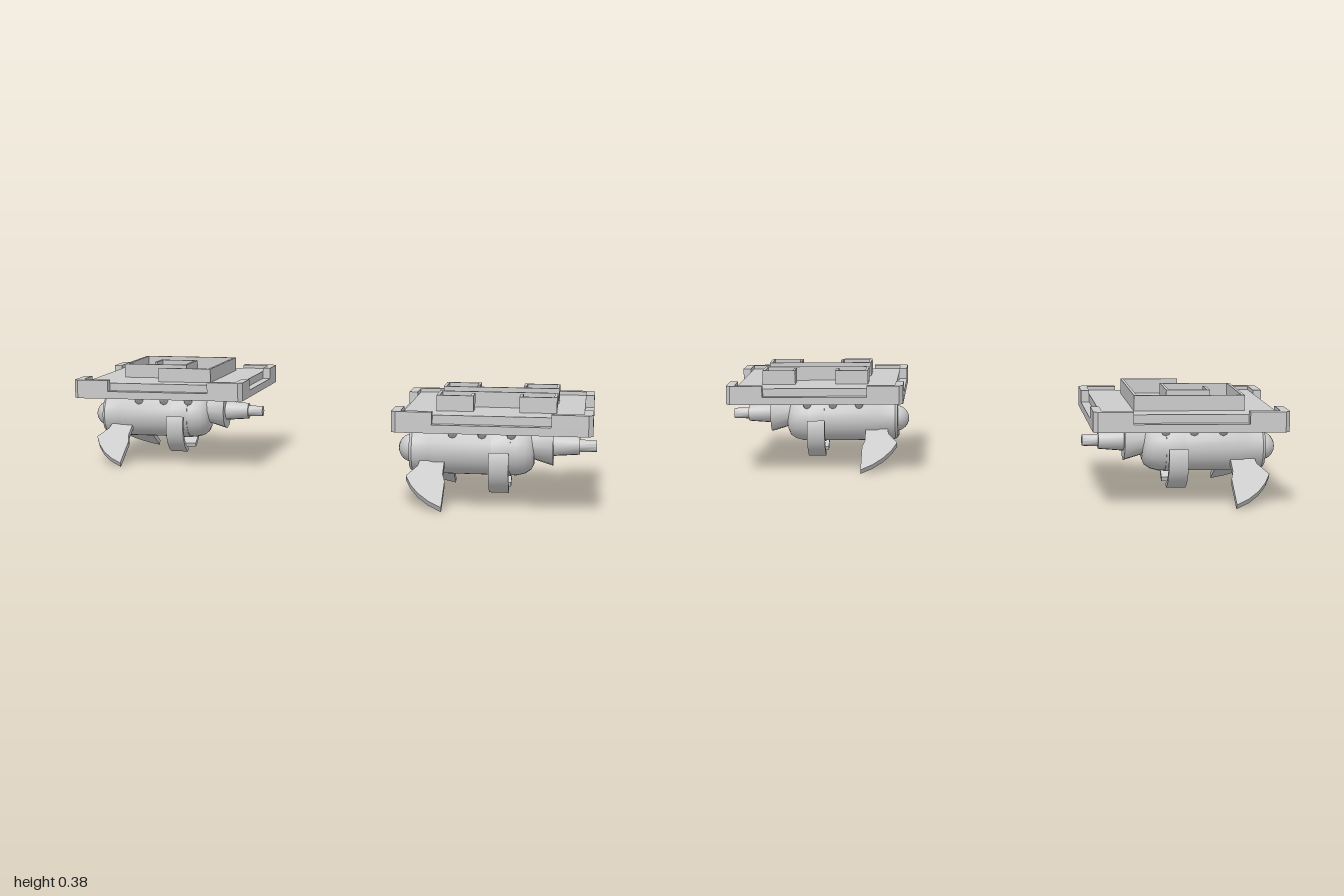
import * as THREE from 'three';
import { toCreasedNormals } from 'three/addons/utils/BufferGeometryUtils.js';

const material = new THREE.MeshStandardMaterial({ color: 0xcccccc });
const HALF = 0.33;      // half width of a platform
const AXIS_Y = 0.178;   // height of the engine body axis
const NOZZLE_Y = 0.2;   // height of the nozzle axis

function add(parent, name, geometry, x = 0, y = 0, z = 0) {
  const mesh = new THREE.Mesh(geometry, material);
  mesh.name = name;
  mesh.position.set(x, y, z);
  parent.add(mesh);
  return mesh;
}

function shapeOf(points) {
  return new THREE.Shape(points.map(([x, y]) => new THREE.Vector2(x, y)));
}

// Extrudes a shape and centres its depth on zero
function slab(shape, depth) {
  return new THREE.ExtrudeGeometry(shape, { depth, bevelEnabled: false }).translate(0, 0, -depth / 2);
}

// Turned part along +x from [x, radius] pairs
function turned(profile, sides) {
  const lathe = new THREE.LatheGeometry(profile.map(([x, r]) => new THREE.Vector2(r, x)), sides);
  return toCreasedNormals(lathe.rotateZ(-Math.PI / 2), 0.6);
}

// Square base, raised floor and L-shaped corner rims
function addPlatform(unit) {
  const h = HALF, c = 0.015, inner = 0.195, rim = 0.3;
  const base = shapeOf([
    [h - c, -h], [h, -h + c], [h, h - c], [h - c, h],
    [-h + c, h], [-h, h - c], [-h, -h + c], [-h + c, -h],
  ]);
  add(unit, 'platformBase', slab(base, 0.028).rotateX(-Math.PI / 2), 0, 0.294, 0);
  add(unit, 'platformFloor', new THREE.BoxGeometry(2 * rim, 0.03, 2 * rim), 0, 0.322, 0);
  const corner = shapeOf([
    [inner, rim], [rim, rim], [rim, inner], [h, inner],
    [h, h - c], [h - c, h], [inner, h],
  ]);
  for (let i = 0; i < 4; i++) {
    const mesh = add(unit, 'cornerRim', slab(corner, 0.044).rotateX(-Math.PI / 2), 0, 0.328, 0);
    mesh.rotation.y = i * Math.PI / 2;
  }
}

// Thin wall following a right-angled path of [x, z] points
function addWall(unit, path) {
  const t = 0.01;
  for (let i = 1; i < path.length; i++) {
    const [x0, z0] = path[i - 1], [x1, z1] = path[i];
    const box = new THREE.BoxGeometry(Math.abs(x1 - x0) + t, 0.06, Math.abs(z1 - z0) + t);
    add(unit, 'floorWall', box, (x0 + x1) / 2, 0.36, (z0 + z1) / 2);
  }
}

function addEngine(unit) {
  // Body, nose and nozzle
  add(unit, 'engineBody', turned([
    [-0.3, 0], [-0.3, 0.075], [-0.29, 0.083], [-0.23, 0.083], [-0.22, 0.088],
    [0.07, 0.088], [0.1, 0.08], [0.12, 0.066], [0.13, 0.045], [0.13, 0],
  ], 16), 0, AXIS_Y, 0);
  add(unit, 'bodyBand', turned([[-0.015, 0.08], [-0.015, 0.091], [0.05, 0.091], [0.05, 0.08]], 16), 0, AXIS_Y, 0);
  add(unit, 'nose', new THREE.SphereGeometry(0.05, 16, 12), -0.293, AXIS_Y, 0);
  add(unit, 'nozzle', turned([
    [0.09, 0], [0.09, 0.04], [0.195, 0.072], [0.195, 0.038],
    [0.285, 0.031], [0.285, 0.022], [0.342, 0.02], [0.342, 0],
  ], 12), 0, NOZZLE_Y, 0);

  const finShape = shapeOf([
    [-0.257, 0.05], [-0.175, 0.05], [-0.175, 0.15], [-0.165, 0.19],
    [-0.165, 0.325], [-0.21, 0.295], [-0.25, 0.255], [-0.28, 0.21], [-0.3, 0.165], [-0.265, 0.11],
  ]);
  const claw = new THREE.Shape();
  const a0 = THREE.MathUtils.degToRad(21), a1 = THREE.MathUtils.degToRad(-73);
  claw.absarc(0, 0, 0.114, a0, a1, true);
  claw.absarc(0, 0, 0.098, a1, a0, false);

  for (const s of [1, -1]) {
    // Fins and claw struts slope 30 degrees down from the axis
    add(unit, 'fin', slab(finShape, 0.02).rotateX(s * Math.PI * 2 / 3), 0, AXIS_Y, 0);
    const strut = new THREE.BoxGeometry(0.04, 0.08, 0.02).translate(0.015, 0.11, 0);
    add(unit, 'clawStrut', strut.rotateX(s * Math.PI * 2 / 3), 0, AXIS_Y, 0);

    const clawGeometry = new THREE.ExtrudeGeometry(claw, { depth: 0.068, bevelEnabled: false, curveSegments: 6 });
    clawGeometry.translate(0, 0, -0.034).rotateY(-s * Math.PI / 2);
    add(unit, 'claw', toCreasedNormals(clawGeometry, 0.6), 0.014, 0.148, s * 0.028);

    // Curved hangers between body and platform
    const curve = new THREE.CatmullRomCurve3([
      new THREE.Vector3(0, 0.285, s * 0.09), new THREE.Vector3(0, 0.262, s * 0.087),
      new THREE.Vector3(0, 0.245, s * 0.075), new THREE.Vector3(0, 0.235, s * 0.05),
    ]);
    for (const x of [-0.15, -0.048, 0.052]) {
      add(unit, 'hanger', new THREE.TubeGeometry(curve, 8, 0.016, 8), x, 0, 0);
    }
  }
}

function createUnit(name, x, z, walls) {
  const unit = new THREE.Group();
  unit.name = name;
  unit.position.set(x, 0, z);
  addPlatform(unit);
  addEngine(unit);
  walls.forEach((path) => addWall(unit, path));
  return unit;
}

export function createModel() {
  const model = new THREE.Group();
  model.name = 'hoverPlatforms';

  // Square spiral
  const spiral = [
    [-0.018, 0.22], [0.178, 0.22], [0.178, -0.21], [-0.19, -0.21], [-0.19, 0.095],
    [0.05, 0.095], [0.05, -0.075], [-0.092, -0.075], [-0.092, 0.01],
  ];
  // Two mirrored brackets with hooked ends
  const brackets = [1, -1].map((s) => [
    [-0.073, 0.118], [-0.073, 0.183], [-0.187, 0.183], [-0.187, 0.065],
    [0.204, 0.065], [0.204, 0.183], [0.09, 0.183], [0.09, 0.118],
  ].map(([x, z]) => [x, s * z + 0.008]));

  model.add(createUnit('spiralPlatform', -0.657, -0.332, [spiral]));
  model.add(createUnit('bracketPlatform', 0.657, 0.332, brackets));
  return model;
}
